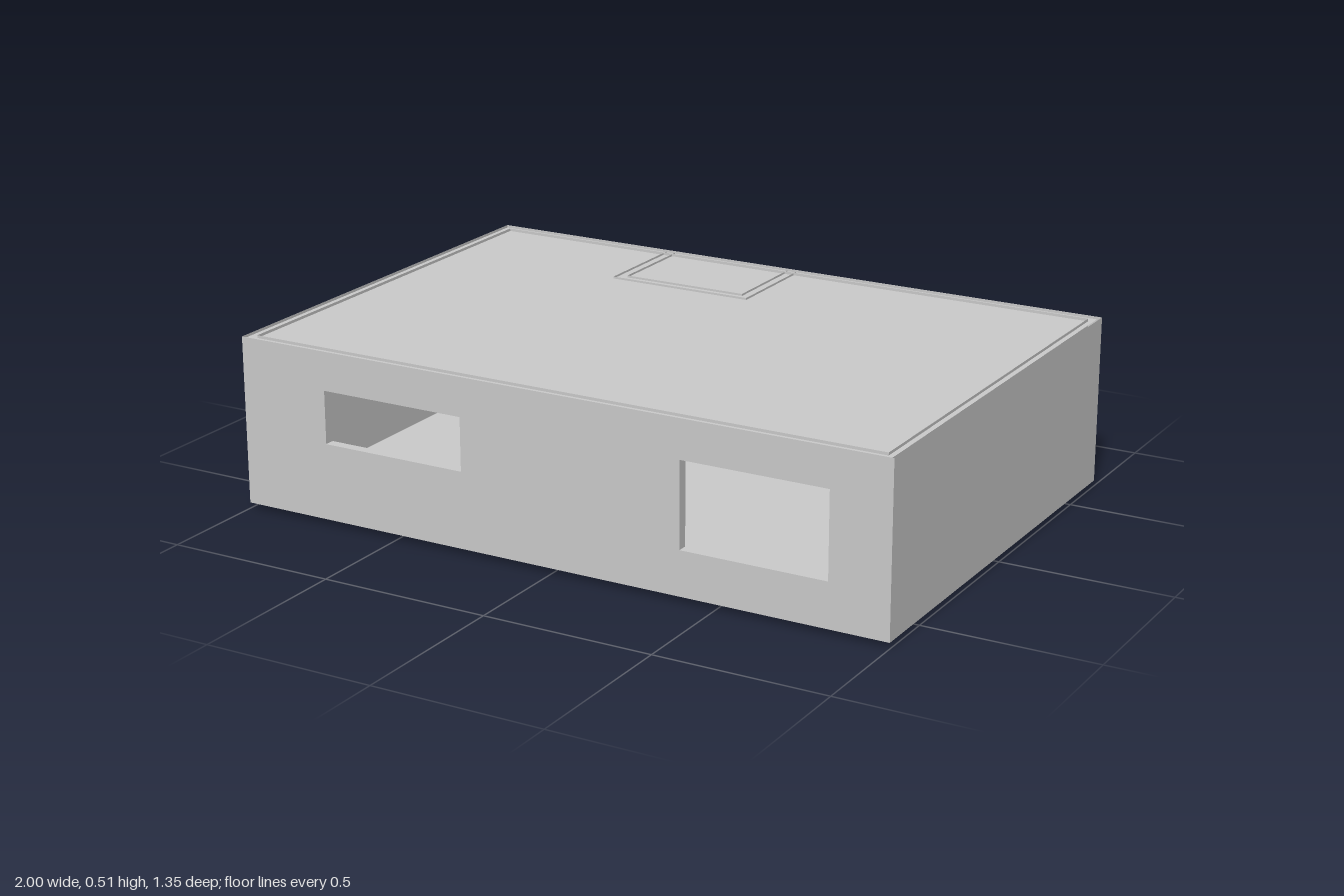
import * as THREE from 'three';
import { mergeGeometries } from 'three/addons/utils/BufferGeometryUtils.js';

const T = 0.03; // wall thickness
const material = new THREE.MeshStandardMaterial({ color: 0xcccccc, side: THREE.DoubleSide });

// One upright skin of a wall; doors notch its lower edge, windows are holes
function skin(a, b, y0, y1, openings, z) {
  const s = new THREE.Shape();
  s.moveTo(a, y0);
  for (const o of openings) {
    if (o.door) {
      s.lineTo(o.u0, y0);
      s.lineTo(o.u0, o.top);
      s.lineTo(o.u1, o.top);
      s.lineTo(o.u1, y0);
    } else {
      const h = new THREE.Path();
      h.moveTo(o.u0, o.bottom);
      h.lineTo(o.u0, o.top);
      h.lineTo(o.u1, o.top);
      h.lineTo(o.u1, o.bottom);
      h.closePath();
      s.holes.push(h);
    }
  }
  s.lineTo(b, y0);
  s.lineTo(b, y1);
  s.lineTo(a, y1);
  s.closePath();
  return new THREE.ShapeGeometry(s).translate(0, 0, z);
}

// The faces lining an opening through the wall
function reveals(o, y0) {
  const bottom = o.door ? y0 : o.bottom;
  const w = o.u1 - o.u0, h = o.top - bottom;
  const cu = (o.u0 + o.u1) / 2, cy = (o.top + bottom) / 2;
  const faces = [
    new THREE.PlaneGeometry(T, h).rotateY(Math.PI / 2).translate(o.u0, cy, -T / 2),
    new THREE.PlaneGeometry(T, h).rotateY(-Math.PI / 2).translate(o.u1, cy, -T / 2),
    new THREE.PlaneGeometry(w, T).rotateX(Math.PI / 2).translate(cu, o.top, -T / 2),
  ];
  if (!o.door) faces.push(new THREE.PlaneGeometry(w, T).rotateX(-Math.PI / 2).translate(cu, bottom, -T / 2));
  return faces;
}

// Hollow wall, open along top and bottom; its outer skin faces local +z
function wall(name, { a, b, y0, y1, openings = [], trimA = T, trimB = T, x = 0, z = 0, turn = 0 }) {
  const parts = [
    skin(a, b, y0, y1, openings, 0),
    skin(a + trimA, b - trimB, y0, y1, openings, -T),
    ...openings.flatMap((o) => reveals(o, y0)),
  ];
  const mesh = new THREE.Mesh(mergeGeometries(parts), material);
  mesh.name = name;
  mesh.position.set(x, 0, z);
  mesh.rotation.y = turn;
  return mesh;
}

// Flat sheet between two corners
function sheet(name, x0, x1, z0, z1, y) {
  const g = new THREE.PlaneGeometry(x1 - x0, z1 - z0).rotateX(-Math.PI / 2);
  const mesh = new THREE.Mesh(g, material);
  mesh.name = name;
  mesh.position.set((x0 + x1) / 2, y, (z0 + z1) / 2);
  return mesh;
}

export function createModel() {
  const model = new THREE.Group();
  model.name = 'house';
  const Q = Math.PI / 2, D = 0.675;
  const outer = { y0: 0.017, y1: 0.508 };
  const inner = { y0: 0, y1: 0.506 };

  // Outer walls with two front windows and a side door
  model.add(
    wall('frontWall', {
      ...outer, a: -1, b: 1, z: D,
      openings: [
        { u0: -0.725, u1: -0.28, bottom: 0.24, top: 0.395 },
        { u0: 0.395, u1: 0.825, bottom: 0.147, top: 0.395 },
      ],
    }),
    wall('backWall', { ...outer, a: -1, b: 1, z: -D, turn: Math.PI }),
    wall('leftWall', { ...outer, a: -D, b: D, x: 1, turn: Q }),
    wall('rightWall', {
      ...outer, a: -D, b: D, x: -1, turn: -Q,
      openings: [{ door: true, u0: -0.48, u1: -0.355, top: 0.33 }],
    }),
  );

  // Small room against the back wall
  const x0 = -0.415, x1 = 0.032, zf = -0.35, zb = -0.663;
  const room = new THREE.Group();
  room.name = 'backRoom';
  room.add(
    wall('roomFrontWall', { ...inner, a: x0, b: x1, z: zf }),
    wall('roomLeftWall', { ...inner, a: -zf, b: -zb, trimB: 0, x: x1, turn: Q }),
    wall('roomRightWall', {
      ...inner, a: zb, b: zf, trimA: 0, x: x0, turn: -Q,
      openings: [{ door: true, u0: -0.57, u1: -0.45, top: 0.33 }],
    }),
  );
  model.add(room);

  // Floor and roof, stopping short of the front and left outer skins
  model.add(sheet('floor', -1, 0.985, -D, 0.66, 0.024));
  model.add(sheet('roof', -1, 0.985, -D, 0.66, 0.5));
  return model;
}
